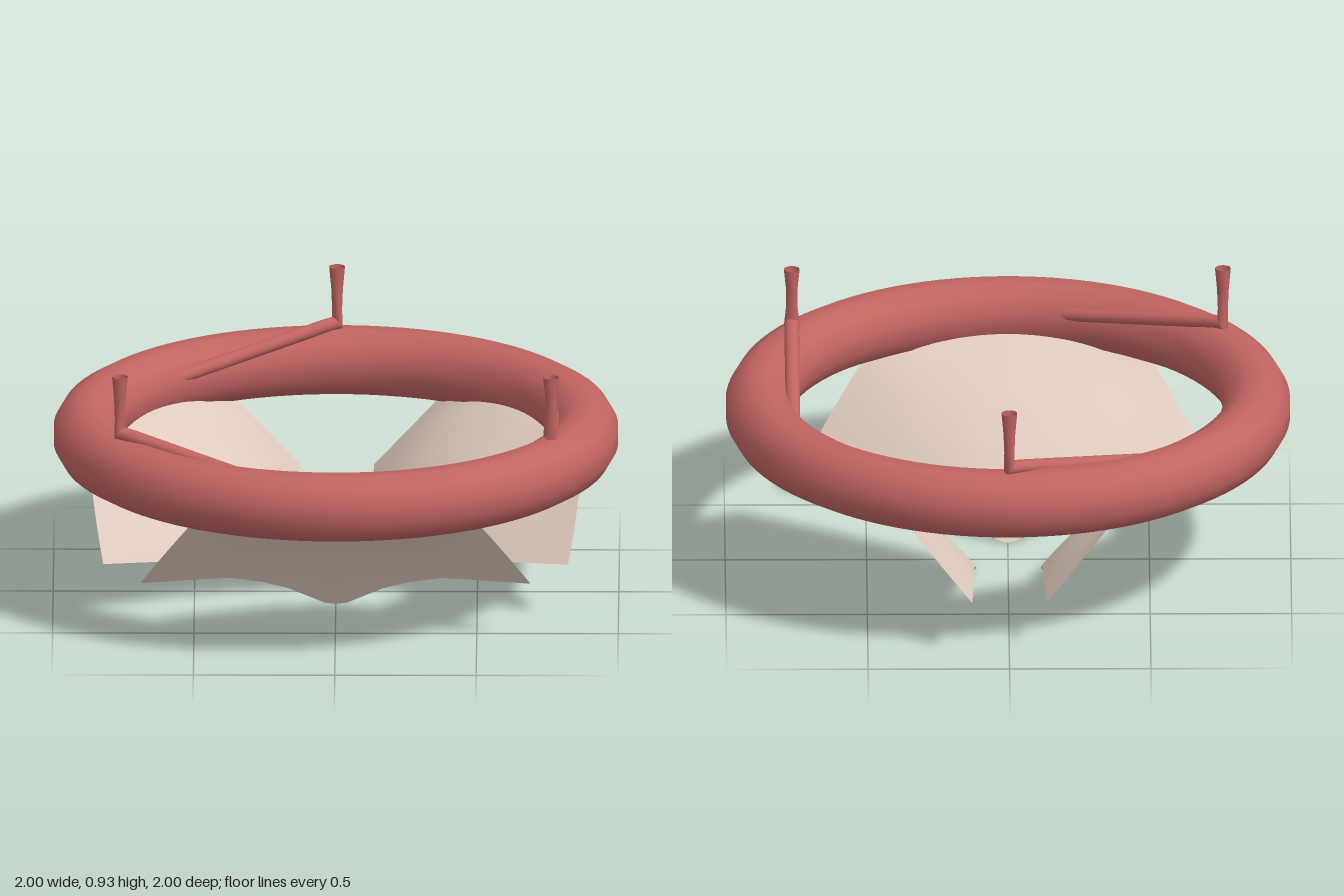
import * as THREE from 'three';
import { mergeVertices } from 'three/addons/utils/BufferGeometryUtils.js';

const RING_R = 0.88, RING_Y = 0.585, TUBE_R = 0.122;

// Smooth surface through rows of points; closed joins the ends of each row
function loft(rows, closed) {
  const n = rows[0].length, index = [];
  for (let i = 0; i < rows.length - 1; i++) {
    for (let j = 0; j < (closed ? n : n - 1); j++) {
      const k = (j + 1) % n;
      const a = i * n + j, b = i * n + k, c = a + n, d = b + n;
      index.push(a, b, c, b, d, c);
    }
  }
  const geometry = new THREE.BufferGeometry().setFromPoints(rows.flat());
  geometry.setIndex(index);
  geometry.computeVertexNormals();
  return geometry;
}

// Twelve-sided tube swept round the axis, smooth across its seams
function ringGeometry() {
  const points = [];
  for (let i = 0; i <= 12; i++) {
    const a = (i + 0.5) * Math.PI / 6;
    points.push(new THREE.Vector2(RING_R + TUBE_R * Math.cos(a), RING_Y + TUBE_R * Math.sin(a)));
  }
  let geometry = new THREE.LatheGeometry(points, 96);
  geometry.deleteAttribute('uv');
  geometry.deleteAttribute('normal');
  geometry = mergeVertices(geometry, 1e-4);
  geometry.computeVertexNormals();
  return geometry;
}

// Curved flap: free lower edge, sagging belly, upper edge buried in the ring
function leafletGeometry() {
  const lowerEdge = [
    [0, 0, 0.15], [0.04, 0.008, 0.16], [0.1, 0.043, 0.19], [0.17, 0.085, 0.233],
    [0.26, 0.125, 0.29], [0.37, 0.16, 0.355], [0.45, 0.17, 0.4], [0.53, 0.18, 0.45],
    [0.61, 0.19, 0.5], [0.69, 0.2, 0.55],
  ];
  const half = lowerEdge.map(([x, y, z]) => {
    const s = x / 0.69, angle = s * 0.5;
    return new THREE.QuadraticBezierCurve3(
      new THREE.Vector3(x, y, z),
      new THREE.Vector3(0.57 * s, 0.44 - 0.05 * s, 0.45 + 0.22 * s ** 1.5),
      new THREE.Vector3(RING_R * Math.sin(angle), RING_Y, RING_R * Math.cos(angle)),
    ).getPoints(14);
  });
  const mirrored = half.slice(1).reverse().map((row) => row.map((p) => new THREE.Vector3(-p.x, p.y, p.z)));
  return loft([...mirrored, ...half], false);
}

// Tube through sections: centre y and z, half width in x, second half-axis in y and z
function sweep(sections) {
  const sides = 12, x = RING_R * Math.sin(Math.PI / 3);
  return loft(sections.map(([y, z, w, by, bz]) => Array.from({ length: sides }, (_, j) => {
    const a = j * 2 * Math.PI / sides, c = Math.cos(a), s = Math.sin(a);
    return new THREE.Vector3(x + w * c, y + by * s, z + bz * s);
  })), true);
}

export function createModel() {
  const red = new THREE.MeshStandardMaterial({ color: 0xc06461, side: THREE.DoubleSide });
  red.name = 'muted red';
  const beige = new THREE.MeshStandardMaterial({ color: 0xdfcabd, side: THREE.DoubleSide });
  beige.name = 'pale beige';

  const model = new THREE.Group();
  model.name = 'threeLeafletValve';
  const add = (parent, name, geometry, material) => {
    const mesh = new THREE.Mesh(geometry, material);
    mesh.name = name;
    parent.add(mesh);
  };

  add(model, 'ring', ringGeometry(), red);

  const leaflet = leafletGeometry();
  // Sloping bar and flared post share a mitred elbow
  const elbow = [0.722, 0.44, 0.027, 0.022, -0.016];
  const bar = sweep([
    [0.58, -0.44, 0.026, 0.025, 0.004],
    [0.715, 0.38, 0.026, 0.025, 0.004],
    elbow,
  ]);
  const post = sweep([
    elbow,
    [0.78, 0.44, 0.021, 0, -0.017],
    [0.85, 0.44, 0.02, 0, -0.021],
    [0.93, 0.44, 0.028, 0, -0.028],
  ]);

  // Three identical sectors around the ring
  for (let i = 0; i < 3; i++) {
    const sector = new THREE.Group();
    sector.name = `sector${i + 1}`;
    add(sector, 'leaflet', leaflet, beige);
    add(sector, 'strutBar', bar, red);
    add(sector, 'strutPost', post, red);
    sector.rotation.y = i * 2 * Math.PI / 3;
    model.add(sector);
  }
  return model;
}
